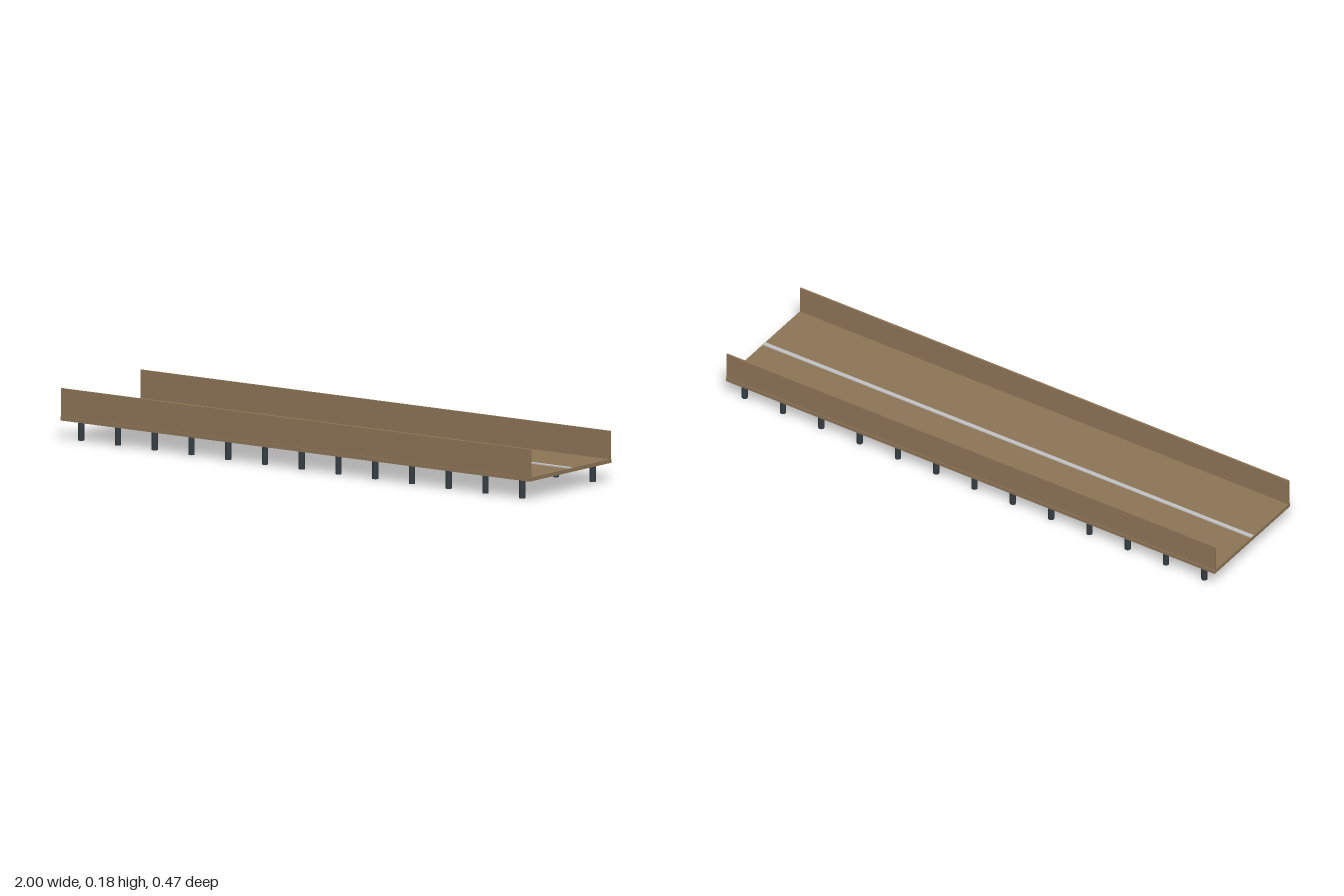
import * as THREE from 'three';

const material = (name, color) => {
  const m = new THREE.MeshStandardMaterial({ color });
  m.name = name;
  return m;
};

export function createModel() {
  const model = new THREE.Group();
  model.name = 'walkway';
  const brown = material('brown', 0x8b7355);
  const charcoal = material('charcoal', 0x343b3f);
  const lightGrey = material('light grey', 0xc0c0c0);

  const add = (name, geometry, mat, x, y, z) => {
    const mesh = new THREE.Mesh(geometry, mat);
    mesh.name = name;
    mesh.position.set(x, y, z);
    model.add(mesh);
  };

  // Deck with a raised centre strip
  add('deck', new THREE.BoxGeometry(2, 0.0133, 0.4667), brown, 0, 0.0733, 0);
  add('centreStrip', new THREE.BoxGeometry(2, 0.0035, 0.0155), lightGrey, 0, 0.0817, 0);

  // Side walls and the row of posts under each side
  const wall = new THREE.BoxGeometry(2, 0.1, 0.0067);
  const post = new THREE.CylinderGeometry(0.0107, 0.0107, 0.0667, 12);
  for (const side of [1, -1]) {
    const label = side > 0 ? 'front' : 'back';
    add(label + 'Wall', wall, brown, 0, 0.1275, side * 0.2267);
    for (let i = 0; i < 13; i++) {
      add(label + 'Post' + (i + 1), post, charcoal, -0.936 + i * 0.1567, 0.0333, side * 0.2);
    }
  }
  return model;
}
